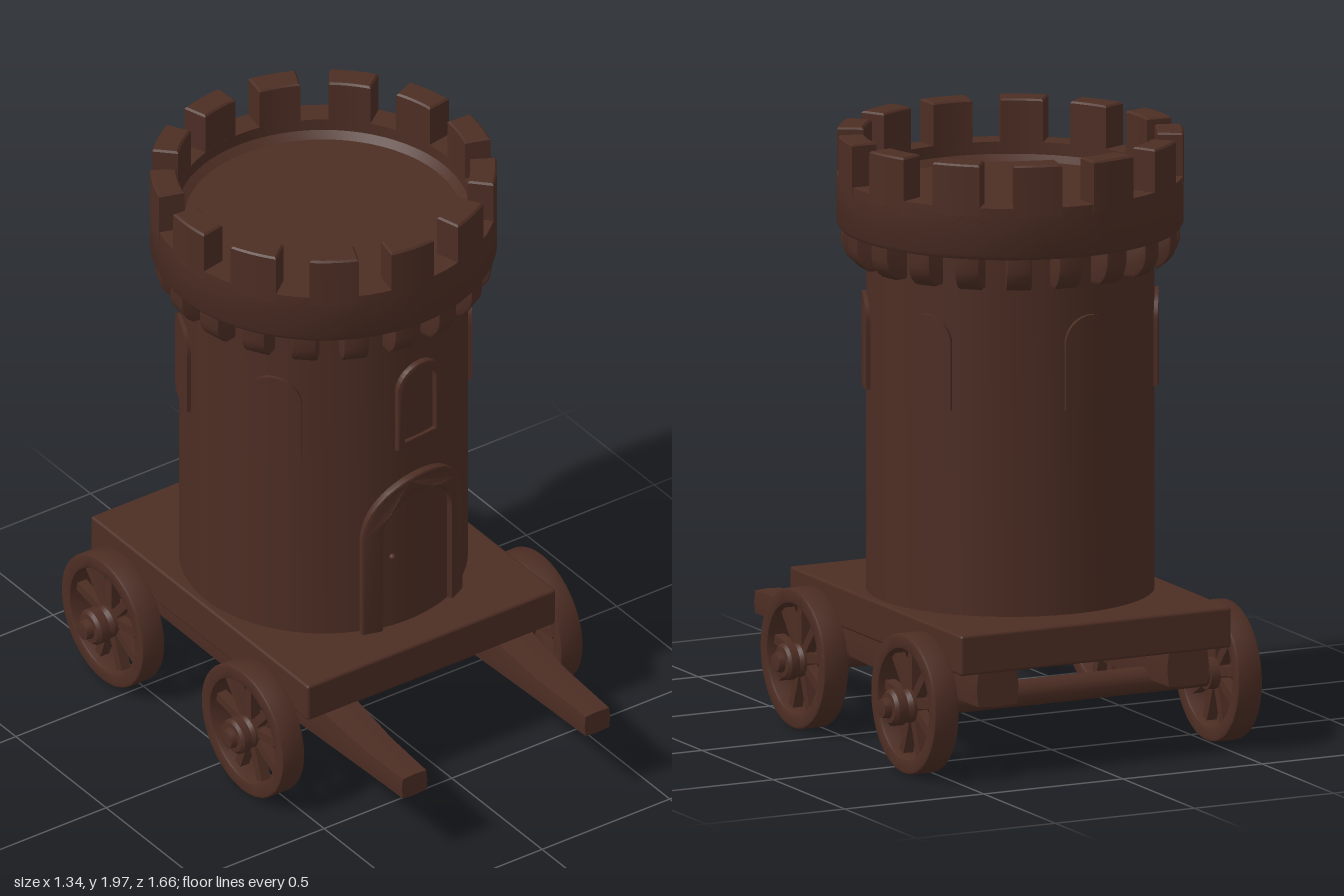
import * as THREE from 'three';
import { toCreasedNormals } from 'three/addons/utils/BufferGeometryUtils.js';
import { RoundedBoxGeometry } from 'three/addons/geometries/RoundedBoxGeometry.js';

const TOWER_Z = -0.21, BODY_R = 0.462;
const rad = THREE.MathUtils.degToRad;

export function createModel() {
  const model = new THREE.Group();
  model.name = 'siegeTower';
  const wood = new THREE.MeshStandardMaterial({ color: 0x4c2d23 });
  wood.name = 'darkBrown';

  function add(parent, name, geometry, x = 0, y = 0, z = 0) {
    const mesh = new THREE.Mesh(geometry, wood);
    mesh.name = name;
    mesh.position.set(x, y, z);
    parent.add(mesh);
    return mesh;
  }
  function group(parent, name, x = 0, y = 0, z = 0) {
    const g = new THREE.Group();
    g.name = name;
    g.position.set(x, y, z);
    parent.add(g);
    return g;
  }
  const crease = (geometry, angle = 0.6) => toCreasedNormals(geometry, angle);

  // Move every vertex by a rule
  function reshape(geometry, rule) {
    const p = geometry.attributes.position, v = new THREE.Vector3();
    for (let i = 0; i < p.count; i++) {
      rule(v.fromBufferAttribute(p, i));
      p.setXYZ(i, v.x, v.y, v.z);
    }
    return crease(geometry);
  }
  // Bend a flat piece around the tower: z is the distance from the axis
  function bend(v) {
    const a = v.x / BODY_R, r = v.z;
    v.x = r * Math.sin(a);
    v.z = r * Math.cos(a);
  }

  // ---- Tower ----
  const tower = group(model, 'tower', 0, 0, TOWER_Z);
  const profile = [
    [0, 0.48], [BODY_R, 0.48], [BODY_R, 1.69], [0.545, 1.69], [0.555, 1.705],
    [0.555, 1.86], [0.47, 1.86], [0.47, 1.82], [0.445, 1.8], [0, 1.8],
  ].map(([x, y]) => new THREE.Vector2(x, y));
  add(tower, 'towerBody', crease(new THREE.LatheGeometry(profile, 72)));

  // Battlements
  const half = rad(7.6), front = -Math.PI / 2;
  const sector = new THREE.Shape();
  sector.absarc(0, 0, 0.549, front - half, front + half, false);
  sector.absarc(0, 0, 0.476, front + half, front - half, true);
  const merlonGeo = crease(new THREE.ExtrudeGeometry(sector, {
    depth: 0.164, curveSegments: 5, bevelThickness: 0.006, bevelSize: 0.006, bevelSegments: 1,
  }).rotateX(-Math.PI / 2));
  for (let i = 0; i < 13; i++) {
    add(tower, 'merlon', merlonGeo, 0, 1.83, 0).rotation.y = rad(-4) + (i / 13) * Math.PI * 2;
  }

  // Corbels under the parapet
  const corbel = new THREE.Shape();
  corbel.moveTo(0.43, 1.7);
  corbel.lineTo(0.535, 1.7);
  corbel.lineTo(0.535, 1.65);
  corbel.quadraticCurveTo(0.53, 1.61, 0.495, 1.588);
  corbel.lineTo(0.43, 1.588);
  const corbelGeo = crease(new THREE.ExtrudeGeometry(corbel, {
    depth: 0.068, curveSegments: 5, bevelThickness: 0.007, bevelSize: 0.007, bevelSegments: 2,
  }).translate(0, 0, -0.034).rotateY(-Math.PI / 2));
  for (let i = 0; i < 20; i++) {
    add(tower, 'corbel', corbelGeo).rotation.y = rad(-6 + i * 18);
  }

  // Round-headed panel wrapped on the wall
  function archPanel(halfWidth, bottom, top, outerR) {
    return reshape(new THREE.BoxGeometry(2, 1, 1, 20, 6, 1), (v) => {
      v.x = halfWidth * Math.sin(v.x * Math.PI / 2);
      const head = Math.sqrt(Math.max(0, halfWidth ** 2 - v.x ** 2));
      v.y = bottom + (v.y + 0.5) * (top - halfWidth + head - bottom);
      v.z = v.z > 0 ? outerR : 0.43;
      bend(v);
    });
  }
  function archPath(path, w, bottom, top) {
    path.moveTo(w, bottom);
    path.lineTo(w, top - w);
    path.absarc(0, top - w, w, 0, Math.PI, false);
    path.lineTo(-w, bottom);
    path.closePath();
    return path;
  }
  // Round-headed frame wrapped on the wall
  function archFrame(halfWidth, bottom, top, band, outerR) {
    const b = 0.008;
    const shape = archPath(new THREE.Shape(), halfWidth - b, bottom + b, top - b);
    shape.holes.push(archPath(new THREE.Path(), halfWidth - band + b, bottom + band - b, top - band + b));
    const geo = new THREE.ExtrudeGeometry(shape, {
      depth: outerR - b - 0.44, curveSegments: 20, bevelThickness: b, bevelSize: b, bevelSegments: 2,
    }).translate(0, 0, 0.44);
    return reshape(geo, bend);
  }

  add(tower, 'doorFrame', archFrame(0.21, 0.43, 1.065, 0.072, 0.487)).rotation.y = rad(5.2);
  add(tower, 'door', archPanel(0.142, 0.48, 0.995, 0.468)).rotation.y = rad(5.2);
  add(tower, 'doorHandle', new THREE.SphereGeometry(0.012, 10, 8), -0.06, 0.77, 0.466);
  add(tower, 'frontWindowFrame', archFrame(0.09, 1.175, 1.485, 0.028, 0.482)).rotation.y = rad(5.5);
  add(tower, 'frontWindow', archPanel(0.064, 1.2, 1.46, 0.466)).rotation.y = rad(5.5);
  const windowGeo = archPanel(0.09, 1.175, 1.48, 0.475);
  for (const a of [66, 118, 186, 247, 305]) {
    add(tower, 'window', windowGeo).rotation.y = rad(a);
  }

  // ---- Cart ----
  const cart = group(model, 'cart');
  add(cart, 'deck', new RoundedBoxGeometry(0.972, 0.132, 1.205, 2, 0.01), 0, 0.44, -0.212);

  // Long shafts under the deck: z, centre height, height, width
  function shaft(tipZ) {
    const stations = [
      [-0.78, 0.315, 0.12, 0.15], [0, 0.31, 0.13, 0.15], [0.38, 0.315, 0.115, 0.14],
      [0.58, 0.3, 0.085, 0.12], [tipZ, 0.295, 0.08, 0.1],
    ];
    return reshape(new RoundedBoxGeometry(1, 1, 1, 1, 0.1).copy(new THREE.BoxGeometry(1, 1, 1, 2, 2, 4)), (v) => {
      const [z, cy, h, w] = stations[Math.round((v.z + 0.5) * 4)];
      const corner = Math.abs(v.x * v.y) > 0.2 ? 0.92 : 1;
      v.set(v.x * w * corner, cy + v.y * h * corner, z);
    });
  }
  add(cart, 'rightShaft', shaft(0.785), -0.347);
  add(cart, 'leftShaft', shaft(0.83), 0.337);

  // Wheel pieces, built with the axle along z
  const ring = new THREE.Shape();
  ring.absarc(0, 0, 0.219, 0, Math.PI * 2, false);
  const hole = new THREE.Path();
  hole.absarc(0, 0, 0.186, 0, Math.PI * 2, false);
  ring.holes.push(hole);
  const rimGeo = crease(new THREE.ExtrudeGeometry(ring, {
    depth: 0.072, curveSegments: 40, bevelThickness: 0.008, bevelSize: 0.008, bevelSegments: 2,
  }).translate(0, 0, -0.036));
  const spokeGeo = new THREE.BoxGeometry(0.03, 0.17, 0.035).translate(0, 0.11, 0);
  const hubProfile = [
    [0, -0.05], [0.05, -0.05], [0.055, 0.03], [0.042, 0.05], [0.06, 0.053],
    [0.06, 0.085], [0.05, 0.096], [0.034, 0.098], [0.03, 0.122], [0, 0.127],
  ].map(([x, y]) => new THREE.Vector2(x, y));
  const hubGeo = crease(new THREE.LatheGeometry(hubProfile, 20).rotateX(Math.PI / 2));

  for (const [name, z, hubScale] of [['front', 0.17, 0.86], ['back', -0.605, 1]]) {
    const axle = new THREE.CylinderGeometry(0.043, 0.043, 1.1, 20).rotateZ(Math.PI / 2);
    add(cart, name + 'Axle', axle, 0, 0.25, z);
    for (const side of [-1, 1]) {
      const wheel = group(cart, name + (side > 0 ? 'LeftWheel' : 'RightWheel'), side * 0.545, 0.243, z);
      wheel.rotation.y = side * Math.PI / 2;
      add(wheel, 'rim', rimGeo, 0, 0.012, 0);
      add(wheel, 'hub', hubGeo, 0, 0.005, 0).scale.z = hubScale;
      for (let i = 0; i < 9; i++) {
        add(wheel, 'spoke', spokeGeo, 0, 0.01, 0).rotation.z = (i / 9) * Math.PI * 2;
      }
    }
  }
  return model;
}
